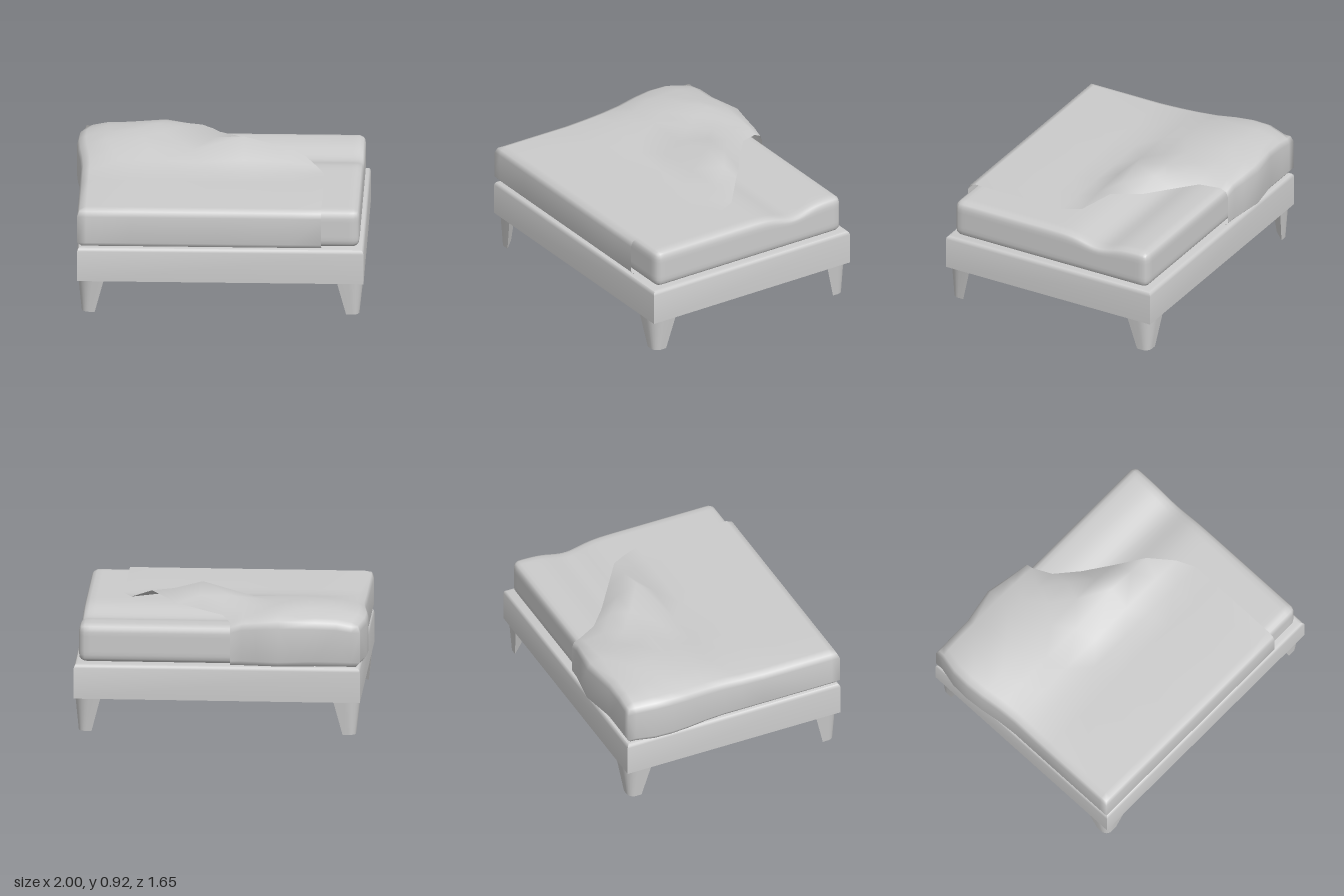
import * as THREE from 'three';
import { mergeVertices, toCreasedNormals } from 'three/addons/utils/BufferGeometryUtils.js';

const material = new THREE.MeshStandardMaterial({ color: 0xcccccc });
const clothMaterial = new THREE.MeshStandardMaterial({ color: 0xcccccc, side: THREE.DoubleSide });

function buildGeometry(positions, index) {
  const geo = new THREE.BufferGeometry();
  geo.setAttribute('position', new THREE.Float32BufferAttribute(positions, 3));
  geo.setIndex(index);
  return geo;
}

// Closed solid through horizontal rings, bottom to top; rings run anticlockwise seen from above
function loft(rings, crease) {
  const n = rings[0].length, index = [], last = (rings.length - 1) * n;
  for (let k = 0; k < rings.length - 1; k++) {
    for (let i = 0; i < n; i++) {
      const a = k * n + i, b = k * n + (i + 1) % n;
      index.push(a, b, b + n, a, b + n, a + n);
    }
  }
  for (let i = 1; i < n - 1; i++) {
    index.push(0, i + 1, i, last, last + i, last + i + 1);
  }
  return toCreasedNormals(buildGeometry(rings.flat(2), index), crease);
}

const frame = { x0: -0.96, x1: 1.0, z0: -0.79, z1: 0.825 };

// Bed base with a softened top edge
function createBase() {
  const { x0, x1, z0, z1 } = frame;
  const rings = [[0.235, 0], [0.45, 0], [0.465, 0.004], [0.475, 0.012], [0.48, 0.028]].map(([y, d]) => [
    [x0 + d, y, z1 - d], [x1 - d, y, z1 - d], [x1 - d, y, z0 + d], [x0 + d, y, z0 + d],
  ]);
  return new THREE.Mesh(loft(rings, 0.7), material);
}

// Tapered corner leg: rounded outside, flat diagonal inside
function createLeg(sx, sz) {
  const cx = sx < 0 ? frame.x0 : frame.x1, cz = sz < 0 ? frame.z0 : frame.z1;
  const section = (y, w, inset) => {
    const pts = [[0, w]];
    for (let i = 0; i <= 6; i++) {
      const t = (i / 6) * Math.PI / 2, r = 0.55 * w;
      pts.push([r * (1 - Math.cos(t)), r * (1 - Math.sin(t))]);
    }
    pts.push([w, 0]);
    const ring = pts.map(([a, b]) => [cx - sx * (a + inset), y, cz - sz * (b + inset)]);
    return sx * sz < 0 ? ring : ring.reverse();
  };
  return new THREE.Mesh(loft([section(0, 0.09, 0.03), section(0.24, 0.178, 0.004)], 0.6), material);
}

// Rounded mattress with a hollow across the sleeping area
function createMattress() {
  const size = new THREE.Vector3(1.89, 0.265, 1.525), radius = 0.05;
  let geo = new THREE.BoxGeometry(size.x, size.y, size.z, 48, 10, 44);
  geo.deleteAttribute('normal');
  geo.deleteAttribute('uv');
  geo = mergeVertices(geo);
  const pos = geo.attributes.position;
  const limit = size.clone().multiplyScalar(0.5).subScalar(radius);
  const p = new THREE.Vector3(), core = new THREE.Vector3();
  for (let i = 0; i < pos.count; i++) {
    p.fromBufferAttribute(pos, i);
    core.copy(p).clamp(limit.clone().negate(), limit);
    p.sub(core).setLength(radius).add(core).add(new THREE.Vector3(0.025, 0.6125, 0.0175));
    const lift = THREE.MathUtils.clamp((p.y - 0.5) / 0.245, 0, 1);
    p.y -= 0.05 * lift * lift * Math.exp(-(((p.z + 0.35) / 0.15) ** 2));
    pos.setXYZ(i, p.x, p.y, p.z);
  }
  geo.computeVertexNormals();
  return new THREE.Mesh(geo, material);
}

// Blanket rows, front to back: z, x positions, heights; the last x is the turned-back edge
const flatX = [-0.9, -0.6, -0.3, 0, 0.25, 0.5, 0.71];
const flatY = Array(7).fill(0.757);
const blanketRows = [
  [0.76, flatX, flatY],
  [0.25, flatX, flatY],
  [0.08, flatX, [0.765, 0.77, 0.77, 0.76, 0.76, 0.757, 0.757]],
  [-0.05, [-0.9, -0.7, -0.45, -0.15, 0.15, 0.45, 0.65], [0.775, 0.79, 0.79, 0.78, 0.8, 0.79, 0.765]],
  [-0.19, [-0.91, -0.75, -0.5, -0.2, 0.15, 0.35, 0.5], [0.785, 0.815, 0.83, 0.82, 0.92, 0.868, 0.85]],
  [-0.33, [-0.93, -0.8, -0.55, -0.3, -0.05, 0.15, 0.32], [0.8, 0.835, 0.85, 0.835, 0.86, 0.86, 0.8]],
  [-0.46, [-0.94, -0.8, -0.6, -0.4, -0.2, 0, 0.14], [0.81, 0.84, 0.86, 0.85, 0.83, 0.845, 0.79]],
  [-0.59, [-0.935, -0.8, -0.6, -0.45, -0.3, -0.15, -0.01], [0.81, 0.84, 0.85, 0.86, 0.835, 0.825, 0.79]],
  [-0.725, [-0.9, -0.8, -0.65, -0.4, -0.25, -0.15, -0.07], [0.79, 0.81, 0.815, 0.83, 0.81, 0.8, 0.77]],
];
const backBulge = [0, 0, 0, 0.045, 0.02, 0.005, 0];

// Hanging side of the blanket, bottom to top: inset from the outer line, share of the height
const drape = [[0.03, 0], [0, 0.12], [0, 0.8], [0.015, 0.93], [0.06, 1]];

function createBlanket() {
  const hang = drape.length - 1, nr = blanketRows.length, cols = hang + 7, rows = nr + 2 * hang;
  const positions = [], index = [];
  for (let j = 0; j < rows; j++) {
    const r = THREE.MathUtils.clamp(j - hang, 0, nr - 1);
    const rowLevel = Math.min(j, rows - 1 - j, hang);
    const [z, xs, ys] = blanketRows[r];
    for (let i = 0; i < cols; i++) {
      const c = Math.max(i - hang, 0), colLevel = Math.min(i, hang);
      const level = Math.min(rowLevel, colLevel);
      // At the corners both directions share one level, giving a single vertical fold
      const corner = rowLevel < hang && colLevel < hang;
      const outX = colLevel < hang ? 0.06 - drape[corner ? level : colLevel][0] : 0;
      const outZ = rowLevel < hang ? 0.06 - drape[corner ? level : rowLevel][0] : 0;
      const front = j < rows / 2;
      const bulge = front ? 0 : backBulge[c] * outZ / 0.06;
      positions.push(
        xs[c] - outX,
        0.482 + (ys[c] - 0.482) * drape[level][1],
        front ? z + outZ : z - outZ - bulge,
      );
    }
  }
  for (let j = 0; j < rows - 1; j++) {
    for (let i = 0; i < cols - 1; i++) {
      const a = j * cols + i, d = a + cols;
      index.push(a, a + 1, d + 1, a, d + 1, d);
    }
  }
  const geo = mergeVertices(buildGeometry(positions, index));
  geo.computeVertexNormals();
  return new THREE.Mesh(geo, clothMaterial);
}

export function createModel() {
  const model = new THREE.Group();
  model.name = 'bed';
  const add = (name, mesh) => {
    mesh.name = name;
    model.add(mesh);
  };
  add('base', createBase());
  for (const [sz, end] of [[1, 'front'], [-1, 'back']]) {
    for (const [sx, side] of [[1, 'Left'], [-1, 'Right']]) {
      add(`${end}${side}Leg`, createLeg(sx, sz));
    }
  }
  add('mattress', createMattress());
  add('blanket', createBlanket());
  return model;
}
